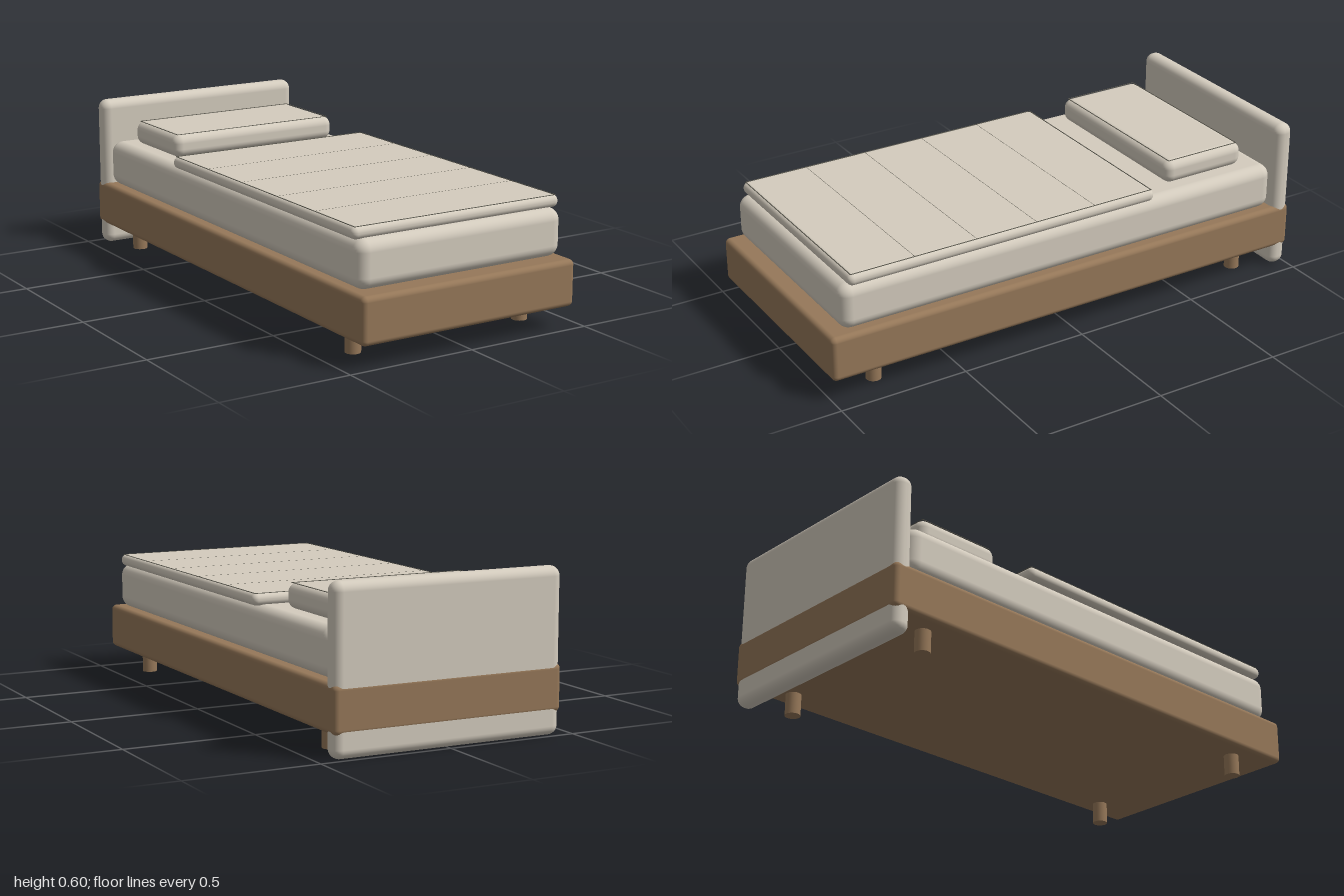
import * as THREE from 'three';
import { RoundedBoxGeometry } from 'three/addons/geometries/RoundedBoxGeometry.js';

export function createModel() {
  const bed = new THREE.Group();
  bed.name = 'bed';

  const material = (name, color) => {
    const m = new THREE.MeshStandardMaterial({ color });
    m.name = name;
    return m;
  };
  const linen = material('linen', 0xd4ccbe);
  const wood = material('wood', 0x967859);
  const seam = material('seam', 0x5c5a50);

  const add = (name, geometry, mat, x, y, z) => {
    const mesh = new THREE.Mesh(geometry, mat);
    mesh.name = name;
    mesh.position.set(x, y, z);
    bed.add(mesh);
    return mesh;
  };

  // Rounded slab given by its half width and its y and z ranges
  const slab = (name, mat, halfX, y0, y1, z0, z1, radius) =>
    add(name, new RoundedBoxGeometry(halfX * 2, y1 - y0, z1 - z0, 5, radius), mat,
      0, (y0 + y1) / 2, (z0 + z1) / 2);

  // Thin seam strip lying on a top surface
  const strip = (name, w, d, x, y, z) =>
    add(name, new THREE.BoxGeometry(w, 0.002, d), seam, x, y, z);

  // Seam running around the edge of a top surface
  const piping = (name, halfX, y, z0, z1) => {
    const t = 0.003;
    for (const s of [-1, 1]) strip(name, t, z1 - z0, s * halfX, y, (z0 + z1) / 2);
    for (const z of [z0, z1]) strip(name, halfX * 2 + t, t, 0, y, z);
  };

  // Wooden base and upholstered headboard
  slab('bedFrame', wood, 0.45, 0.083, 0.257, -1, 1, 0.02);
  slab('headboard', linen, 0.449, 0, 0.6, -0.999, -0.924, 0.035);

  // Legs
  for (const x of [-0.36, 0.36]) {
    for (const z of [-0.8, 0.8]) {
      add('leg', new THREE.CylinderGeometry(0.029, 0.029, 0.09, 24), wood, x, 0.045, z);
    }
  }

  // Bedding
  slab('mattress', linen, 0.432, 0.257, 0.436, -0.92, 0.948, 0.045);
  slab('blanket', linen, 0.437, 0.431, 0.477, -0.36, 0.918, 0.022);
  slab('pillow', linen, 0.364, 0.436, 0.529, -0.82, -0.464, 0.035);

  // Piping and quilting seams
  piping('blanketPiping', 0.424, 0.4765, -0.348, 0.906);
  piping('pillowPiping', 0.345, 0.5285, -0.8, -0.484);
  for (let i = 1; i < 5; i++) {
    strip('quiltSeam', 0.84, 0.0015, 0, 0.4763, -0.348 + (1.254 * i) / 5);
  }

  return bed;
}
